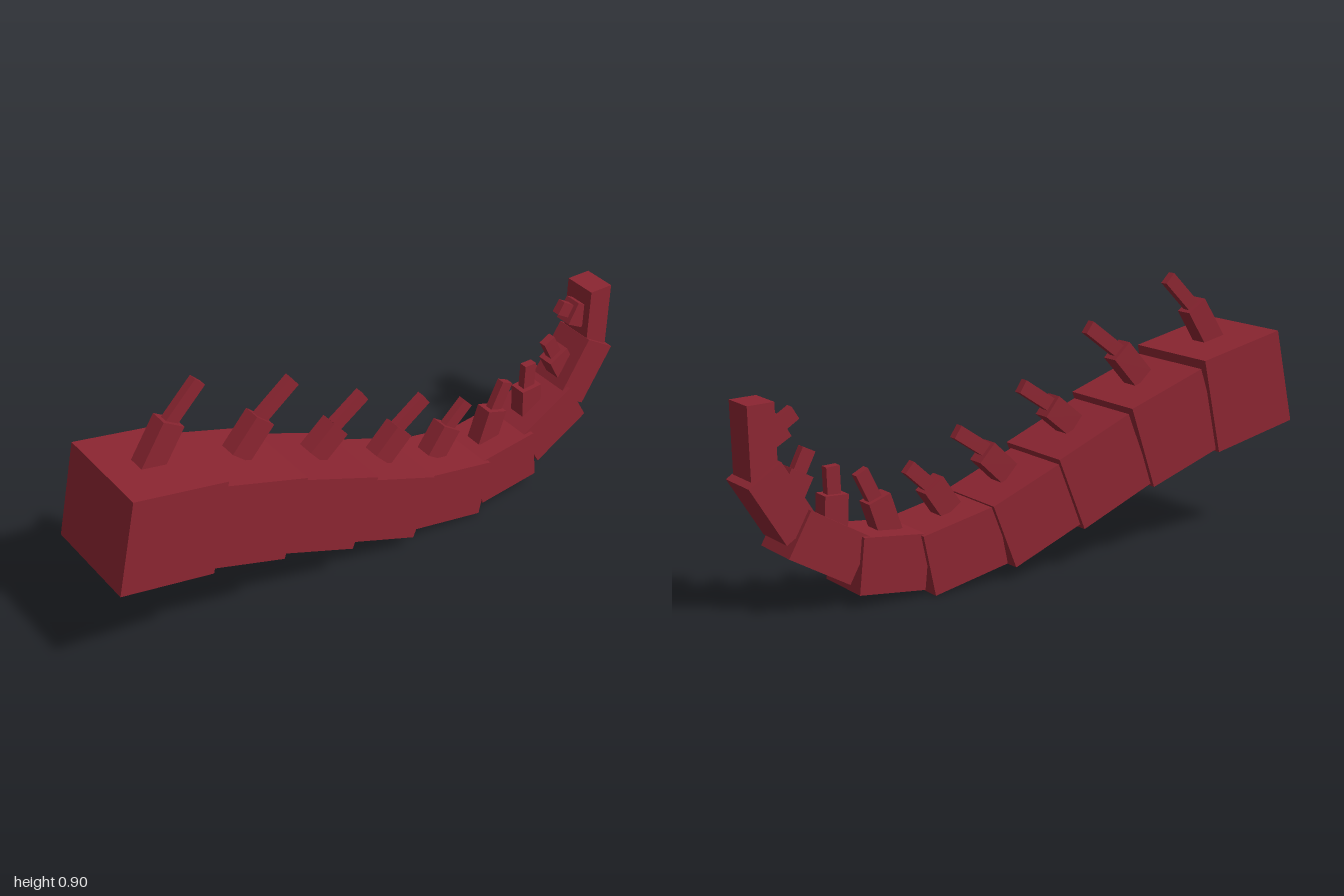
import * as THREE from 'three';

const red = new THREE.MeshStandardMaterial({ color: 0x8b2531 });
red.name = 'darkRed';

// Box running between two [z, y] points in the centre plane
function link(name, [z0, y0], [z1, y1], width, height) {
  const dz = z1 - z0, dy = y1 - y0;
  const mesh = new THREE.Mesh(new THREE.BoxGeometry(width, height, Math.hypot(dz, dy)), red);
  mesh.name = name;
  mesh.position.set(0, (y0 + y1) / 2, (z0 + z1) / 2);
  mesh.rotation.x = -Math.atan2(dy, dz);
  return mesh;
}

// Tail segments: start, end, width, height
const SEGMENTS = [
  [[0.963, 0.548], [0.647, 0.479], 0.355, 0.323],
  [[0.656, 0.472], [0.372, 0.374], 0.325, 0.288],
  [[0.372, 0.370], [0.099, 0.257], 0.295, 0.262],
  [[0.100, 0.255], [-0.149, 0.155], 0.266, 0.227],
  [[-0.150, 0.161], [-0.417, 0.104], 0.237, 0.200],
  [[-0.415, 0.115], [-0.645, 0.139], 0.207, 0.178],
  [[-0.640, 0.153], [-0.842, 0.267], 0.178, 0.156],
  [[-0.825, 0.270], [-0.942, 0.457], 0.147, 0.126],
  [[-0.935, 0.440], [-0.941, 0.665], 0.115, 0.088],
];

// Spines: base start, base end, tip start, tip end
const SPINES = [
  [[0.795, 0.640], [0.698, 0.791], [0.700, 0.785], [0.594, 0.890]],
  [[0.476, 0.570], [0.385, 0.671], [0.390, 0.666], [0.265, 0.759]],
  [[0.198, 0.447], [0.107, 0.521], [0.112, 0.524], [0.003, 0.596]],
  [[-0.059, 0.324], [-0.144, 0.404], [-0.128, 0.404], [-0.243, 0.481]],
  [[-0.278, 0.238], [-0.342, 0.329], [-0.337, 0.318], [-0.420, 0.393]],
  [[-0.497, 0.200], [-0.537, 0.316], [-0.540, 0.307], [-0.588, 0.404]],
  [[-0.690, 0.220], [-0.684, 0.350], [-0.684, 0.345], [-0.687, 0.436]],
  [[-0.845, 0.345], [-0.797, 0.436], [-0.800, 0.430], [-0.765, 0.500]],
  [[-0.909, 0.553], [-0.850, 0.586], [-0.855, 0.585], [-0.807, 0.615]],
];

export function createModel() {
  const tail = new THREE.Group();
  tail.name = 'segmentedTail';

  SEGMENTS.forEach(([start, end, width, height], i) => {
    tail.add(link(`tailSegment${i + 1}`, start, end, width, height));
  });

  // One stepped spine on the ridge of each segment
  SPINES.forEach(([baseStart, baseEnd, tipStart, tipEnd], i) => {
    const spine = new THREE.Group();
    spine.name = `spine${i + 1}`;
    spine.add(
      link('spineBase', baseStart, baseEnd, 0.06, 0.08),
      link('spineTip', tipStart, tipEnd, 0.028, 0.046),
    );
    tail.add(spine);
  });

  return tail;
}
